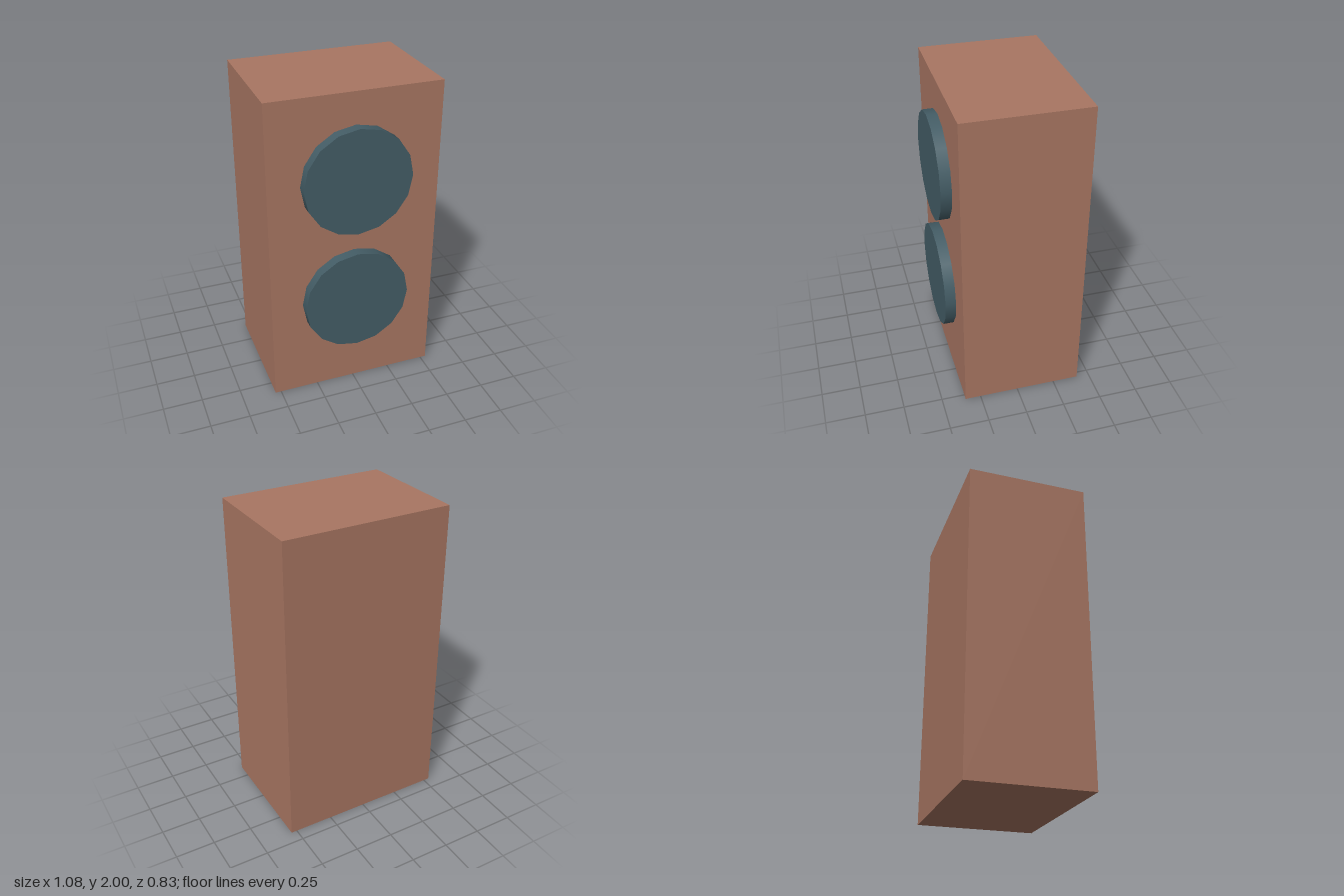
import * as THREE from 'three';

export function createModel() {
  const model = new THREE.Group();
  model.name = 'loudspeaker';

  const wood = new THREE.MeshStandardMaterial({ color: 0xa87662 });
  wood.name = 'brown wood';
  const coneGrey = new THREE.MeshStandardMaterial({ color: 0x445d66 });
  coneGrey.name = 'dark blue grey';

  // Cabinet
  const front = 0.35, back = -0.417;
  const cabinet = new THREE.Mesh(new THREE.BoxGeometry(1.075, 2, front - back), wood);
  cabinet.name = 'cabinet';
  cabinet.position.set(0, 1, (front + back) / 2);
  model.add(cabinet);

  // Two round drivers standing proud of the front panel
  const depth = 0.067;
  const driverGeometry = new THREE.CylinderGeometry(0.338, 0.338, depth, 16).rotateX(Math.PI / 2);
  for (const [name, y] of [['upperDriver', 1.464], ['lowerDriver', 0.648]]) {
    const driver = new THREE.Mesh(driverGeometry, coneGrey);
    driver.name = name;
    driver.position.set(0, y, front + depth / 2);
    model.add(driver);
  }

  return model;
}
